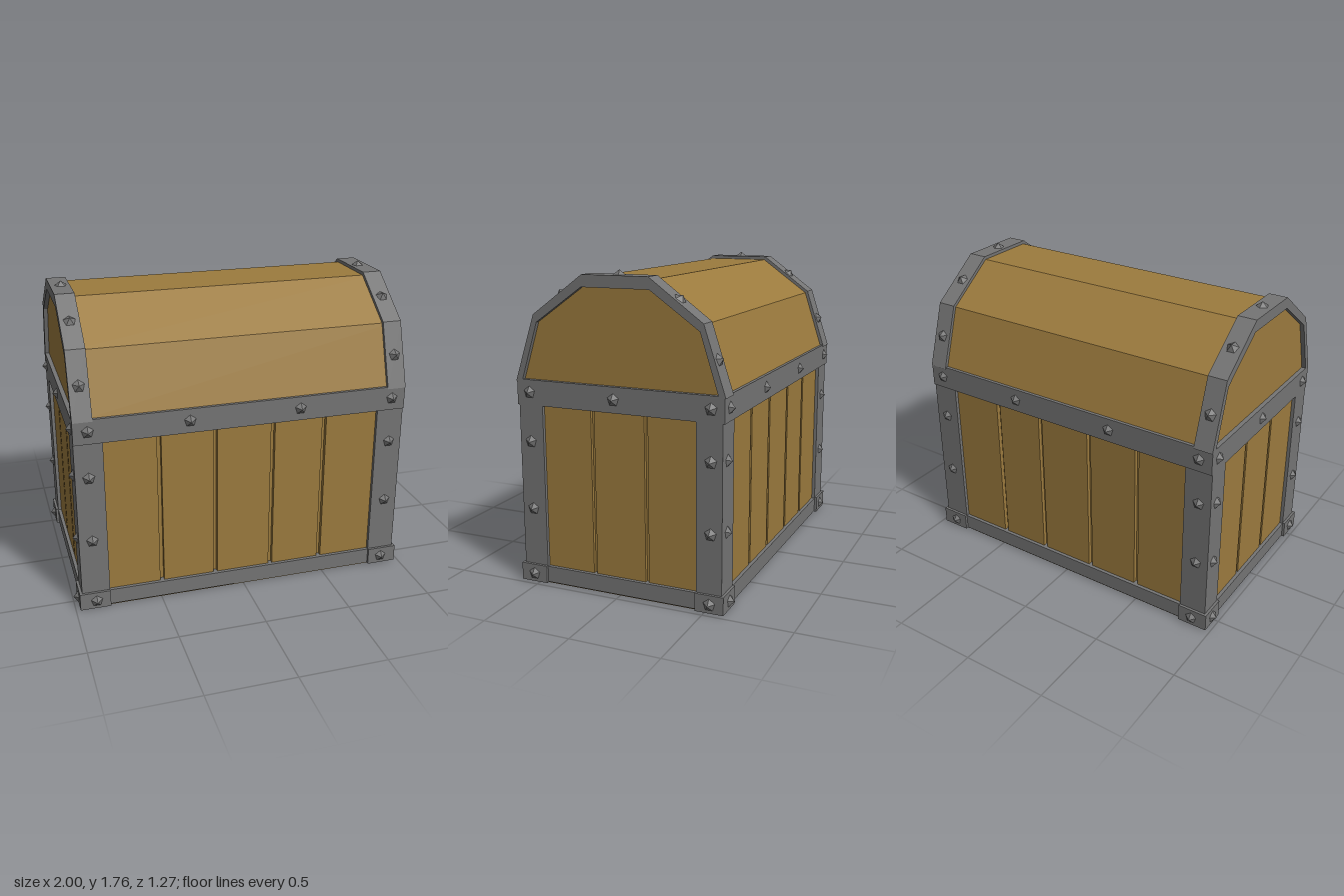
import * as THREE from 'three';

const wood = new THREE.MeshStandardMaterial({ color: 0x9c7b3e, flatShading: true });
const iron = new THREE.MeshStandardMaterial({ color: 0x757575, flatShading: true });

// Five-sided pointed stud facing +z, one corner up
const studGeo = new THREE.ConeGeometry(0.044, 0.034, 5).rotateY(Math.PI).rotateX(Math.PI / 2).translate(0, 0, 0.01);

export function createModel() {
  const chest = new THREE.Group();
  chest.name = 'chest';

  const add = (name, geo, mat) => {
    const m = new THREE.Mesh(geo, mat);
    m.name = name;
    chest.add(m);
    return m;
  };
  // Box given by its limits on each axis
  const box = (name, mat, x0, x1, y0, y1, z0, z1) =>
    add(name, new THREE.BoxGeometry(x1 - x0, y1 - y0, z1 - z0), mat)
      .position.set((x0 + x1) / 2, (y0 + y1) / 2, (z0 + z1) / 2);
  const stud = (x, y, z, yaw, pitch = 0) => {
    const s = add('stud', studGeo, iron);
    s.position.set(x, y, z);
    s.rotation.set(-pitch, yaw, 0, 'YXZ');
  };

  // Body core, visible in the gaps between planks, and floor
  box('bodyCore', wood, -0.92, 0.92, 0.05, 1.1, -0.55, 0.55);
  box('floor', wood, -0.95, 0.95, 0, 0.012, -0.588, 0.588);

  // Upright planks on all four walls
  const planks = (edges, gap, place) => {
    for (let i = 0; i < edges.length - 1; i++) place(edges[i] + gap, edges[i + 1] - gap);
  };
  for (const s of [-1, 1]) {
    planks([-0.85, -0.49, -0.17, 0.17, 0.48, 0.85], 0.012, (a, b) =>
      box('longWallPlank', wood, a, b, 0.06, 1.06, s * 0.56 - 0.015, s * 0.56 + 0.015));
    planks([-0.52, -0.16, 0.155, 0.52], 0.01, (a, b) =>
      box('endWallPlank', wood, s * 0.925 - 0.015, s * 0.925 + 0.015, 0.06, 1.06, a, b));
  }

  // Base trim and upper band
  box('baseTrim', iron, -0.96, 0.96, 0.008, 0.1, -0.595, 0.595);
  box('upperBand', iron, -0.96, 0.96, 1.02, 1.16, -0.605, 0.605);

  // Corner posts and base corner caps
  for (const sx of [-1, 1]) for (const sz of [-1, 1]) {
    const corner = (name, x, z, y0, y1) => box(name, iron,
      Math.min(sx * 0.8, sx * x), Math.max(sx * 0.8, sx * x), y0, y1,
      Math.min(sz * 0.45, sz * z), Math.max(sz * 0.45, sz * z));
    corner('cornerPost', 0.96, 0.595, 0.09, 1.03);
    corner('cornerCap', 0.975, 0.61, 0.004, 0.104);
  }

  // Faceted lid: half profiles as [z, y], mirrored and extruded along x
  const mirror = (half) => [...half, ...half.map(([z, y]) => [-z, y]).reverse()]
    .map(([z, y]) => new THREE.Vector2(z, y));
  const extrudeX = (shape, x0, x1) =>
    new THREE.ExtrudeGeometry(shape, { depth: x1 - x0, bevelEnabled: false })
      .rotateY(Math.PI / 2).translate(x0, 0, 0);
  const outer = [[0.61, 1.15], [0.49, 1.515], [0.19, 1.735]];
  const inner = [[0.57, 1.158], [0.47, 1.475], [0.195, 1.67]];
  add('lid', extrudeX(new THREE.Shape(mirror([[0.59, 1.15], [0.475, 1.505], [0.182, 1.716]])), -0.935, 0.935), wood);
  for (const s of [-1, 1]) {
    const ring = new THREE.Shape(mirror(outer));
    ring.holes.push(new THREE.Path(mirror(inner)));
    add('lidStrap', extrudeX(ring, s > 0 ? 0.85 : -0.96, s > 0 ? 0.96 : -0.85), iron);
  }

  // Studs on the long walls and end walls
  for (const s of [-1, 1]) {
    const yawZ = s > 0 ? 0 : Math.PI, yawX = s * Math.PI / 2;
    for (const t of [-1, 1]) {
      stud(t * 0.88, 0.05, s * 0.61, yawZ);
      stud(s * 0.975, 0.05, t * 0.53, yawX);
      for (const y of [0.43, 0.815]) {
        stud(t * 0.885, y, s * 0.595, yawZ);
        stud(s * 0.96, y, t * 0.53, yawX);
      }
      for (const x of [0.32, 0.88]) stud(t * x, 1.09, s * 0.605, yawZ);
      stud(s * 0.96, 1.09, t * 0.53, yawX);

      // Studs at the middle of each sloping strap facet
      for (let i = 0; i < 2; i++) {
        const [z0, y0] = outer[i], [z1, y1] = outer[i + 1];
        stud(t * 0.905, (y0 + y1) / 2, s * (z0 + z1) / 2, yawZ, Math.atan2(z0 - z1, y1 - y0));
      }
    }
    stud(s * 0.96, 1.09, 0.02 * s, yawX);
    stud(s * 0.9, 1.735, 0, 0, Math.PI / 2);
  }
  return chest;
}
